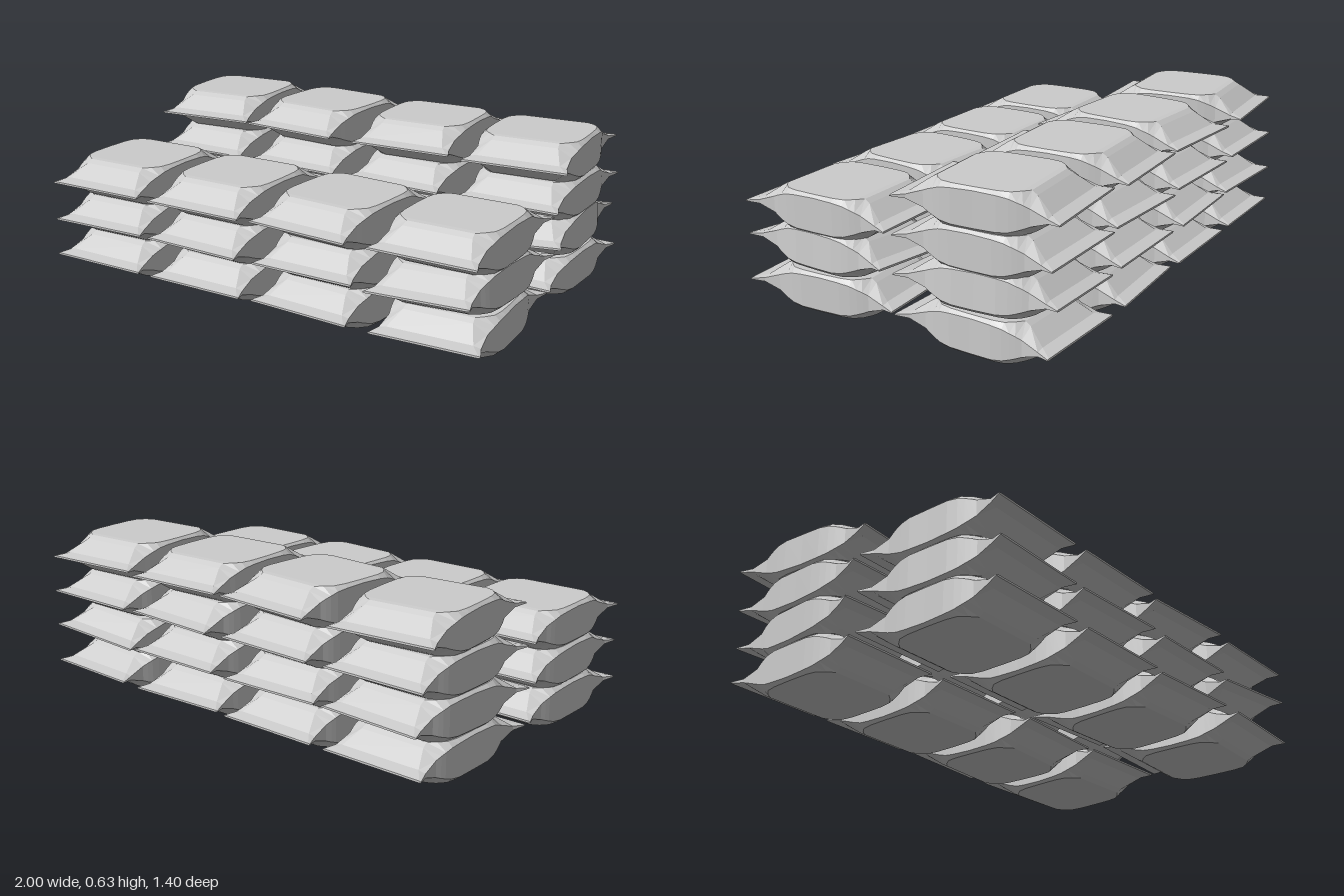
import * as THREE from 'three';

// Half of the sack lengthwise: z, top half-width, top height, side half-width, side half-height
const HALF = [
  [0.0, 0.2, 0.079, 0.212, 0.068],
  [0.09, 0.198, 0.079, 0.214, 0.066],
  [0.135, 0.19, 0.079, 0.21, 0.06],
  [0.165, 0.165, 0.079, 0.205, 0.05],
  [0.187, 0.135, 0.077, 0.2, 0.042],
  [0.21, 0.138, 0.064, 0.194, 0.032],
  [0.28, 0.17, 0.014, 0.2, 0.008],
  [0.333, 0.212, 0.004, 0.22, 0.002],
];

// Loft eight-sided rings along z into a pillow with flat flared ends
function sackGeometry() {
  const mirrored = HALF.slice(1).reverse().map(([z, ...rest]) => [-z, ...rest]);
  const sections = [...mirrored, ...HALF];
  const positions = [];
  const index = [];
  const N = 8;
  for (const [z, a, h, b, s] of sections) {
    const ring = [[a, h], [b, s], [b, -s], [a, -h], [-a, -h], [-b, -s], [-b, s], [-a, h]];
    for (const [x, y] of ring) positions.push(x, y, z);
  }
  for (let i = 0; i < sections.length - 1; i++) {
    for (let j = 0; j < N; j++) {
      const p = i * N + j;
      const q = i * N + ((j + 1) % N);
      index.push(p, p + N, q, q, p + N, q + N);
    }
  }
  // End caps
  const last = (sections.length - 1) * N;
  for (let j = 1; j < N - 1; j++) {
    index.push(0, j, j + 1);
    index.push(last, last + j + 1, last + j);
  }
  const indexed = new THREE.BufferGeometry();
  indexed.setAttribute('position', new THREE.Float32BufferAttribute(positions, 3));
  indexed.setIndex(index);
  const geometry = indexed.toNonIndexed();
  geometry.computeVertexNormals();
  return geometry;
}

export function createModel() {
  const model = new THREE.Group();
  model.name = 'sackStack';
  const material = new THREE.MeshStandardMaterial({ color: 0xcccccc, flatShading: true });
  const geometry = sackGeometry();

  const columns = [-0.755, -0.253, 0.253, 0.752];
  const layerHeight = 0.1585;

  // Small turn of each sack in degrees, one line per layer from the bottom up
  const rows = [
    {
      name: 'front', z: 0.35,
      turns: [[0, 0, -3, 3], [2, -2, 0, -3], [1, 0, -4, 0]],
    },
    {
      name: 'back', z: -0.353,
      turns: [[0, 0, 3, -2], [-3, 2, 0, 3], [0, -2, -3, 0], [5, -4, 3, 4]],
    },
  ];

  for (const row of rows) {
    const rowGroup = new THREE.Group();
    rowGroup.name = row.name + 'Row';
    row.turns.forEach((turns, layer) => {
      turns.forEach((turn, column) => {
        const sack = new THREE.Mesh(geometry, material);
        sack.name = `${row.name}Sack_layer${layer + 1}_column${column + 1}`;
        sack.position.set(columns[column], 0.079 + layer * layerHeight, row.z);
        sack.rotation.y = THREE.MathUtils.degToRad(turn);
        // One sack in the second layer leans sideways
        if (layer === 1 && column === 3) sack.rotation.z = THREE.MathUtils.degToRad(4);
        rowGroup.add(sack);
      });
    });
    model.add(rowGroup);
  }
  return model;
}
